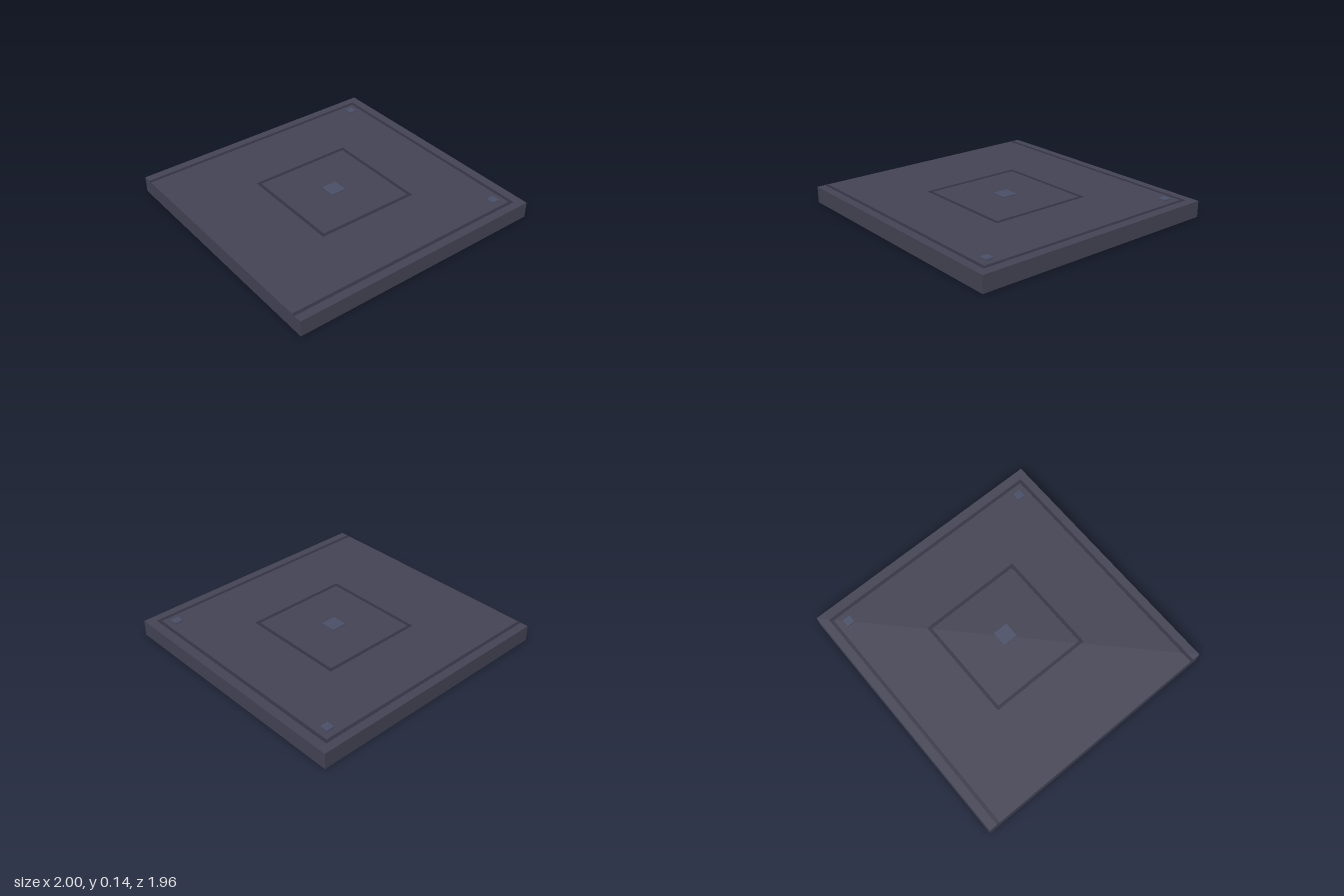
import * as THREE from 'three';

const TOP = 0.123;   // upper face of the slab
const CX = 0.015;    // centre of the inlaid pattern
const LINE = 0.024;  // width of the dark trim

const material = (color) => new THREE.MeshStandardMaterial({ color });

export function createModel() {
  const model = new THREE.Group();
  const slabMat = material(0x444455);
  const trimMat = material(0x333344);
  const padMat = material(0x4a5068);

  // Box given by its x and z ranges and its y range
  function block(name, mat, x0, x1, z0, z1, y0, y1) {
    const mesh = new THREE.Mesh(new THREE.BoxGeometry(x1 - x0, y1 - y0, z1 - z0), mat);
    mesh.position.set((x0 + x1) / 2, (y0 + y1) / 2, (z0 + z1) / 2);
    mesh.name = name;
    model.add(mesh);
  }

  const trim = (name, x0, x1, z0, z1) =>
    block(name, trimMat, x0, x1, z0, z1, TOP - 0.004, TOP + 0.002);

  const pad = (name, x, z, size, top) =>
    block(name, padMat, x - size / 2, x + size / 2, z - size / 2, z + size / 2, TOP - 0.004, top);

  // Floor slab
  block('slab', slabMat, -1, 1, -0.98, 0.98, 0, TOP);

  // Border trim on three sides, open toward -x
  const edge = 0.93, side = 0.917;
  trim('borderTrimLeft', edge - LINE, edge, -side, side);
  // Square trim around the middle
  const half = 0.404;
  for (const s of [-1, 1]) {
    const end = s > 0 ? 'Front' : 'Back';
    const zb = s * (side - LINE / 2), zs = s * (half - LINE / 2);
    trim('borderTrim' + end, -1, edge - LINE, zb - LINE / 2, zb + LINE / 2);
    trim('squareTrim' + end, CX - half, CX + half, zs - LINE / 2, zs + LINE / 2);
    const xs = CX + zs;
    trim('squareTrim' + (s > 0 ? 'Left' : 'Right'), xs - LINE / 2, xs + LINE / 2, -half + LINE, half - LINE);
    // Corner stud
    pad('cornerStud' + end, 0.828, s * 0.813, 0.062, 0.135);
  }

  // Centre plate
  pad('centrePlate', CX, 0, 0.12, 0.131);

  return model;
}
